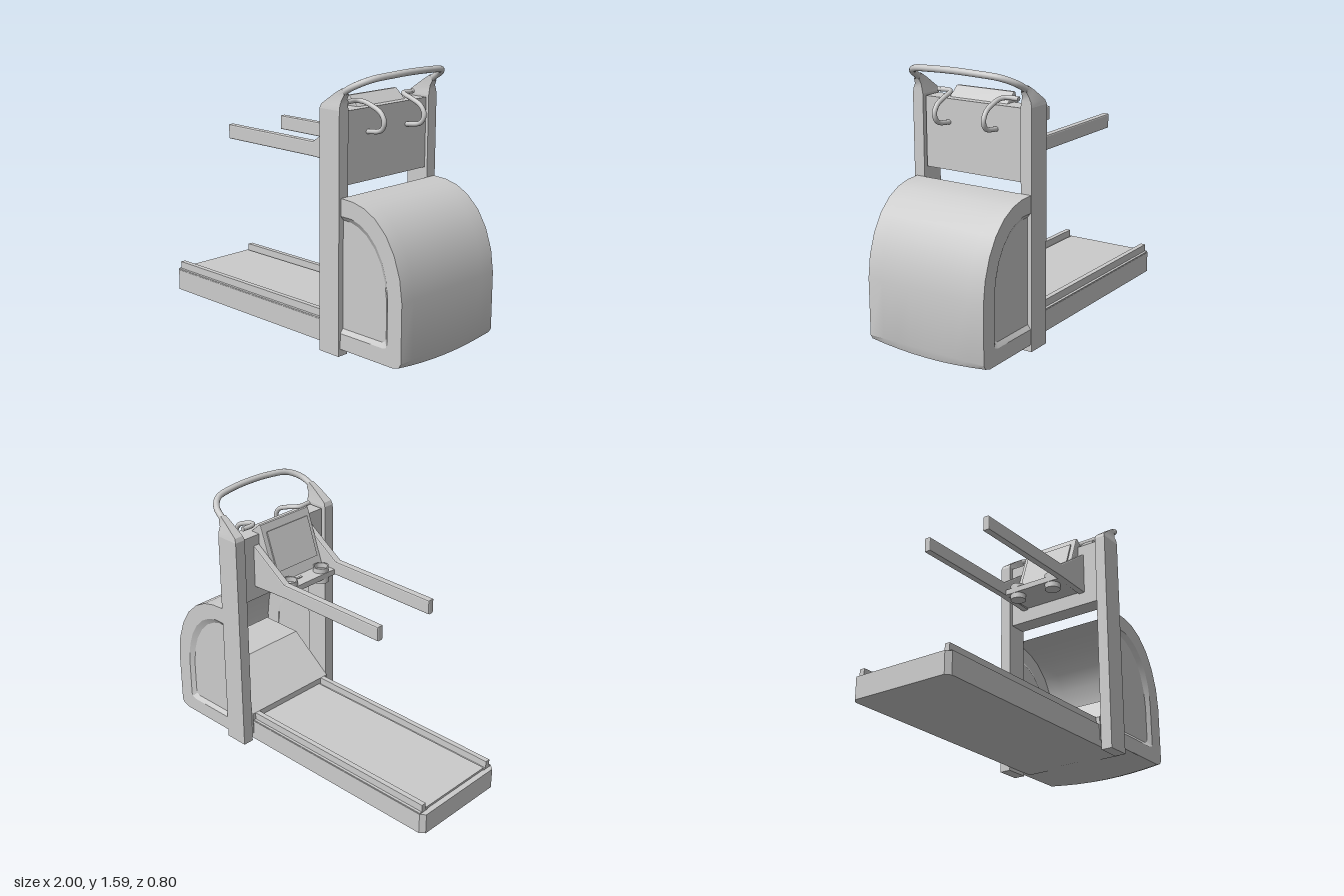
import * as THREE from 'three';
import { toCreasedNormals } from 'three/addons/utils/BufferGeometryUtils.js';

const material = new THREE.MeshStandardMaterial({ color: 0xcccccc, side: THREE.DoubleSide });

function add(parent, name, geometry) {
  const mesh = new THREE.Mesh(geometry, material);
  mesh.name = name;
  parent.add(mesh);
  return mesh;
}

function box(x0, x1, y0, y1, z0, z1) {
  return new THREE.BoxGeometry(x1 - x0, y1 - y0, z1 - z0)
    .translate((x0 + x1) / 2, (y0 + y1) / 2, (z0 + z1) / 2);
}

const shapeOf = (points) => new THREE.Shape(points.map(([x, y]) => new THREE.Vector2(x, y)));

// Side profile in x, y pulled from z0 to z1, with an optional bevel
function prism(points, z0, z1, bevel = 0) {
  return new THREE.ExtrudeGeometry(shapeOf(points), {
    depth: z1 - z0 - 2 * bevel, bevelEnabled: bevel > 0, bevelSize: bevel,
    bevelThickness: bevel, bevelOffset: -bevel, bevelSegments: 2,
  }).translate(0, 0, z0 + bevel);
}

// Surface through loops that have the same number of points
function loft(loops, angle = 0.5) {
  const n = loops[0].length, index = [];
  for (let i = 0; i < loops.length - 1; i++) {
    for (let j = 0; j < n; j++) {
      const a = i * n + j, b = i * n + (j + 1) % n;
      index.push(a, a + n, b, b, a + n, b + n);
    }
  }
  const g = new THREE.BufferGeometry();
  g.setAttribute('position', new THREE.Float32BufferAttribute(loops.flat(2), 3));
  g.setIndex(index);
  return toCreasedNormals(g.toNonIndexed(), angle);
}

function tube(points, radius) {
  const curve = new THREE.CatmullRomCurve3(points.map((p) => new THREE.Vector3(...p)));
  return new THREE.TubeGeometry(curve, 48, radius, 12);
}

function buildDeck() {
  const deck = new THREE.Group();
  deck.name = 'runningDeck';
  const outline = [[-1, -0.3], [-0.97, -0.325], [0.6, -0.325], [0.6, 0.325], [-0.97, 0.325], [-1, 0.3]];
  const base = new THREE.ExtrudeGeometry(shapeOf(outline), { depth: 0.13, bevelEnabled: false });
  add(deck, 'deckBase', base.rotateX(Math.PI / 2).translate(0, 0.148, 0));
  add(deck, 'runningBelt', box(-0.965, 0.45, 0.14, 0.162, -0.26, 0.26));
  for (const s of [-1, 1]) {
    add(deck, 'sideRail', box(-0.97, 0.42, 0.14, 0.2, s * 0.29 - 0.016, s * 0.29 + 0.016));
    add(deck, 'railStep', box(-0.97, 0.42, 0.14, 0.155, s * 0.29 - 0.033, s * 0.29 + 0.033));
  }
  // sloping cover where the belt runs under the hood
  add(deck, 'motorCover', prism(
    [[0.39, 0.06], [0.39, 0.2], [0.67, 0.42], [0.95, 0.42], [0.95, 0.06]], -0.33, 0.33));
  return deck;
}

function buildHood() {
  const hood = new THREE.Group();
  hood.name = 'motorHood';
  const outer = [[0.55, 0.91], [0.64, 0.905], [0.72, 0.885], [0.8, 0.843], [0.88, 0.768], [0.94, 0.67],
    [0.982, 0.55], [1, 0.42], [1, 0.08], [0.985, 0.055], [0.945, 0.042], [0.55, 0.042]];
  const rim = [[0.55, 0.81], [0.63, 0.808], [0.69, 0.79], [0.75, 0.755], [0.81, 0.695], [0.855, 0.62],
    [0.885, 0.53], [0.9, 0.42], [0.9, 0.17], [0.895, 0.145], [0.87, 0.135], [0.55, 0.135]];
  const panel = rim.map(([x, y]) => [x === 0.55 ? x : x - 0.025, y > 0.4 ? y - 0.025 : y + 0.025]);
  const at = (points, z) => points.map(([x, y]) => [x, y, z]);
  // the underside bows downwards in the middle
  const bowed = [0.385, 0.29, 0.19, 0.1, 0, -0.1, -0.19, -0.29, -0.395].map((z) =>
    outer.map(([x, y]) => [x, y < 0.07 ? y - 0.028 * Math.max(0, 1 - (z / 0.386) ** 2) : y, z]));
  // leave the side towards the deck open by doubling back along the same profile
  const openLoop = (loop) => [...loop, ...loop.slice(1, -1).reverse()];
  const shell = add(hood, 'hoodShell', loft(bowed.map((l) => l), 0.5));
  shell.geometry.dispose();
  shell.geometry = openLoft(bowed);
  for (const [side, inset] of [[0.385, 0.365], [-0.395, -0.375]]) {
    add(hood, 'hoodSideRim', openLoft([at(outer, side), at(rim, side), at(panel, inset)]));
    add(hood, 'hoodSidePanel', new THREE.ShapeGeometry(shapeOf(panel)).translate(0, 0, inset));
  }
  return hood;
}

// Loft whose loops are not closed
function openLoft(loops) {
  const n = loops[0].length, index = [];
  for (let i = 0; i < loops.length - 1; i++) {
    for (let j = 0; j < n - 1; j++) {
      const a = i * n + j;
      index.push(a, a + n, a + 1, a + 1, a + n, a + n + 1);
    }
  }
  const g = new THREE.BufferGeometry();
  g.setAttribute('position', new THREE.Float32BufferAttribute(loops.flat(2), 3));
  g.setIndex(index);
  return toCreasedNormals(g.toNonIndexed(), 0.5);
}

function buildFrame() {
  const frame = new THREE.Group();
  frame.name = 'frame';
  for (const s of [-1, 1]) {
    const z0 = s * 0.365 - 0.035, z1 = s * 0.365 + 0.035;
    add(frame, 'upright', box(0.4, 0.55, 0, 1.39, z0, z1));
    // cap that narrows from the post to the handlebar
    const ring = (x0, y0, x1, y1, a, b) => [[x0, y0, a], [x1, y1, a], [x1, y1, b], [x0, y0, b]];
    add(frame, 'uprightCap', loft([
      ring(0.4, 1.39, 0.55, 1.39, z0, z1),
      ring(0.41, 1.415, 0.55, 1.42, z0 + 0.005, z1 - 0.005),
      ring(0.5, 1.48, 0.55, 1.445, s * 0.362 - 0.022, s * 0.362 + 0.022),
      ring(0.545, 1.508, 0.565, 1.475, s * 0.36 - 0.018, s * 0.36 + 0.018),
    ]));
  }
  const half = [[0.5, 1.45, 0.363], [0.555, 1.493, 0.36], [0.62, 1.53, 0.342], [0.675, 1.56, 0.28],
    [0.7, 1.572, 0.15]];
  const mirrored = half.map(([x, y, z]) => [x, y, -z]).reverse();
  add(frame, 'handlebar', tube([...half, [0.706, 1.576, 0], ...mirrored], 0.019));
  return frame;
}

function buildConsole() {
  const group = new THREE.Group();
  group.name = 'console';
  add(group, 'consolePanel', box(0.42, 0.535, 0.97, 1.38, -0.325, 0.32));
  add(group, 'consoleTray', box(0.18, 0.43, 1.06, 1.095, -0.2, 0.19));
  add(group, 'displayHousing', prism(
    [[0.28, 1.08], [0.405, 1.437], [0.42, 1.437], [0.485, 1.38], [0.485, 1.08]], -0.2, 0.19, 0.006));
  const screen = add(group, 'screen', new THREE.BoxGeometry(0.012, 0.25, 0.33));
  screen.position.set(0.345, 1.275, -0.005);
  screen.rotation.z = -Math.atan2(0.125, 0.357);
  add(group, 'trayKey', box(0.245, 0.26, 1.09, 1.1, -0.065, -0.02));

  // open cup holders sunk through the tray
  for (const z of [-0.14, 0.12]) {
    const profile = [[0, 1.026], [0.048, 1.026], [0.048, 1.125], [0.04, 1.125], [0.04, 1.04], [0, 1.04]];
    const cup = new THREE.LatheGeometry(profile.map((p) => new THREE.Vector2(...p)), 28);
    add(group, 'cupHolder', toCreasedNormals(cup.toNonIndexed(), 0.6).translate(0.23, 0, z));
  }
  const arm = [[-0.56, 1.06], [0.17, 1.06], [0.4, 1.05], [0.44, 1.05], [0.44, 1.33], [0.17, 1.148], [-0.56, 1.148]];
  for (const z of [-0.222, 0.208]) {
    add(group, 'sideArm', prism(arm, z - 0.022, z + 0.022, 0.008));
  }
  for (const s of [-1, 1]) {
    const hook = [[0.48, 1.415, 0.27], [0.48, 1.415, 0.195], [0.51, 1.41, 0.17], [0.57, 1.392, 0.165],
      [0.635, 1.36, 0.165], [0.66, 1.31, 0.165], [0.635, 1.265, 0.162], [0.53, 1.245, 0.16]];
    add(group, 'gripHook', tube(hook.map(([x, y, z]) => [x, y, s * z]), 0.014));
    add(group, 'gripEnd', new THREE.CylinderGeometry(0.014, 0.014, 0.02, 12)
      .rotateX(Math.PI / 2).translate(0.48, 1.415, s * 0.262));
  }
  return group;
}

export function createModel() {
  const model = new THREE.Group();
  model.name = 'treadmill';
  model.add(buildDeck(), buildHood(), buildFrame(), buildConsole());
  return model;
}
